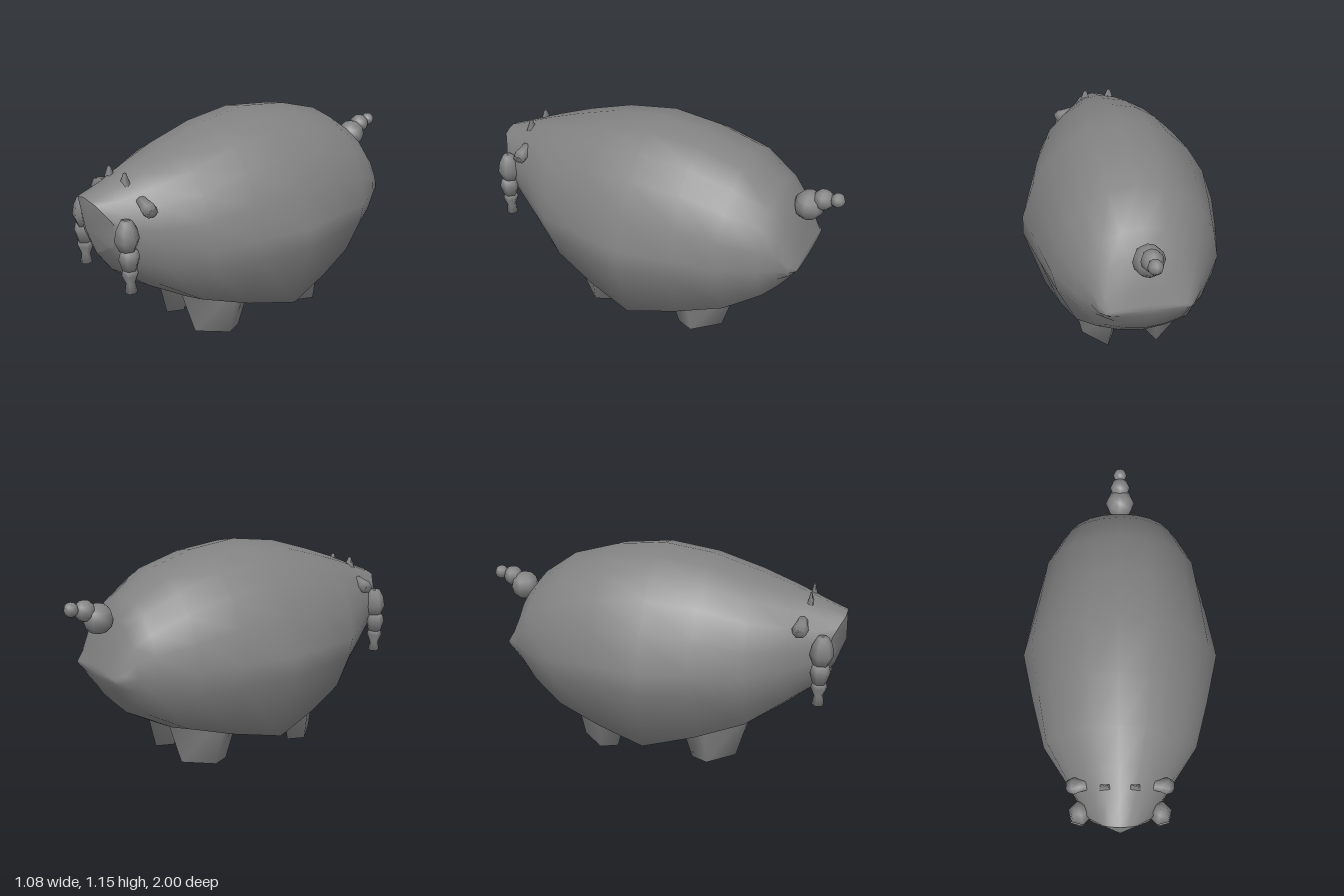
import * as THREE from 'three';

const mat = new THREE.MeshStandardMaterial({ color: 0x828282 });

function add(parent, name, geo, pos = [0, 0, 0]) {
  const mesh = new THREE.Mesh(geo, mat);
  mesh.name = name;
  mesh.position.set(...pos);
  parent.add(mesh);
  return mesh;
}

function buffer(points, index) {
  const geo = new THREE.BufferGeometry();
  geo.setAttribute('position', new THREE.Float32BufferAttribute(points.flat(), 3));
  geo.setIndex(index);
  geo.computeVertexNormals();
  return geo;
}

function lathe(profile, sides) {
  return new THREE.LatheGeometry(profile.map(([r, y]) => new THREE.Vector2(r, y)), sides);
}

// Half cross-section of the belly: x / half width, height fraction
const SECTION = [[0, 1], [0.29, 0.97], [0.49, 0.91], [0.7, 0.81], [0.87, 0.667],
  [0.99, 0.486], [1, 0.38], [0.8, 0.043], [0.4, 0.03], [0, 0]];

// Stations back to front: z, half width, top, bottom, roundness (0 = belly section, 1 = ellipse)
const STATIONS = [
  [-0.845, 0.21, 0.585, 0.53, 1],
  [-0.81, 0.24, 0.67, 0.46, 0.9],
  [-0.755, 0.28, 0.83, 0.375, 0.8],
  [-0.68, 0.335, 0.925, 0.3, 0.7],
  [-0.5, 0.435, 1.05, 0.2, 0.5],
  [-0.26, 0.487, 1.12, 0.145, 0.2],
  [0.01, 0.54, 1.15, 0.1, 0],
  [0.28, 0.48, 1.115, 0.15, 0.2],
  [0.53, 0.415, 1.04, 0.22, 0.5],
  [0.72, 0.29, 0.975, 0.33, 0.8],
  [0.87, 0.2, 0.915, 0.45, 1],
];

// Right half of the snout rim, top to bottom, with the brow leaning forward
const SNOUT_RIM = [[0, 0.868, 0.995], [0.045, 0.86, 0.992], [0.085, 0.85, 0.985],
  [0.12, 0.81, 0.96], [0.157, 0.765, 0.935], [0.15, 0.7, 0.935], [0.14, 0.64, 0.935],
  [0.1, 0.62, 0.94], [0.05, 0.59, 0.945], [0, 0.565, 0.95]];

function mirrorRing(half) {
  return [...half, ...half.slice(1, -1).reverse().map(([x, y, z]) => [-x, y, z])];
}

function ring([z, hw, top, bottom, round]) {
  return mirrorRing(SECTION.map(([u, v], j) => {
    const a = (j / (SECTION.length - 1)) * Math.PI;
    const x = THREE.MathUtils.lerp(u, Math.sin(a), round) * hw;
    const h = THREE.MathUtils.lerp(v, 0.5 + 0.5 * Math.cos(a), round);
    return [x, bottom + h * (top - bottom), z];
  }));
}

function bodyGeometry(rings) {
  const n = rings[0].length;
  const index = [];
  for (let i = 0; i < rings.length - 1; i++) {
    for (let j = 0; j < n; j++) {
      const k = (j + 1) % n;
      const a = i * n + j, b = i * n + k, c = a + n, d = b + n;
      index.push(a, c, b, b, c, d);
    }
  }
  const centre = rings.length * n;
  for (let j = 0; j < n; j++) index.push(centre, j, (j + 1) % n);
  return buffer([...rings.flat(), [0, 0.557, -0.847]], index);
}

function snoutGeometry(rim) {
  const n = rim.length;
  const index = [];
  for (let j = 0; j < n; j++) index.push(n, (j + 1) % n, j);
  return buffer([...rim, [0, 0.71, 1]], index);
}

// Four-sided leg on a skewed footprint, widening upwards
function legGeometry(sx, sz) {
  const foot = [[0.083, -0.023], [-0.043, 0.115], [-0.083, 0.023], [0.043, -0.115]]
    .map(([x, z]) => [x * sx, z * sz]);
  if (sx * sz < 0) foot.reverse();
  const level = (y, k) => foot.map(([x, z]) => [x * k, y, z * k]);
  const index = [0, 1, 2, 0, 2, 3];
  for (let j = 0; j < 4; j++) {
    const k = (j + 1) % 4;
    index.push(k, j, j + 4, k, j + 4, k + 4);
  }
  return buffer([...level(0, 1), ...level(0.3, 1.72)], index);
}

// Braid beads: inward shift, then radius and height down to up
const BEADS = [
  [0, [[0, 0.425], [0.032, 0.418], [0.024, 0.47], [0.043, 0.515], [0.036, 0.542], [0, 0.542]]],
  [0, [[0, 0.535], [0.036, 0.538], [0.054, 0.6], [0.043, 0.637], [0, 0.64]]],
  [0.013, [[0, 0.63], [0.04, 0.635], [0.063, 0.69], [0.052, 0.745], [0.03, 0.787], [0, 0.787]]],
];

export function createModel() {
  const model = new THREE.Group();
  model.name = 'pig';

  // Body and snout
  const rim = mirrorRing(SNOUT_RIM);
  add(model, 'body', bodyGeometry([...STATIONS.map(ring), rim]));
  add(model, 'snout', snoutGeometry(rim));

  // Tail of three shrinking beads
  const tail = new THREE.Group();
  tail.name = 'tail';
  model.add(tail);
  for (const [r, y, z] of [[0.08, 0.83, -0.82], [0.055, 0.88, -0.89], [0.038, 0.895, -0.962]]) {
    add(tail, 'tailBead', new THREE.SphereGeometry(r, 8, 6), [0, y, z]);
  }

  for (const s of [1, -1]) {
    const side = s > 0 ? 'left' : 'right';

    // Braids hanging beside the snout
    const braid = new THREE.Group();
    braid.name = side + 'Braid';
    model.add(braid);
    for (const [shift, profile] of BEADS) {
      const bead = add(braid, 'braidBead', lathe(profile, 6), [s * (0.217 - shift), 0, 0.895]);
      bead.rotation.y = s * Math.PI / 4;
    }

    // Drooping, flared ears
    const ear = add(model, side + 'Ear',
      lathe([[0, 0], [0.023, 0], [0.027, 0.035], [0.036, 0.075], [0.028, 0.108], [0, 0.095]], 6),
      [s * 0.162, 0.855, 0.782]);
    ear.rotation.z = -s * 1.98;
    ear.scale.z = 1.2;

    // Small flat brow spikes
    const spike = new THREE.CylinderGeometry(0.011, 0.039, 0.06, 4).rotateY(Math.PI / 4);
    add(model, side + 'BrowSpike', spike, [s * 0.072, 0.94, 0.808]).scale.z = 0.55;

    // Tapered legs
    add(model, side + 'FrontLeg', legGeometry(s, 1), [s * 0.178, 0, 0.347]);
    add(model, side + 'BackLeg', legGeometry(s, -1), [s * 0.178, 0, -0.315]);
  }
  return model;
}
